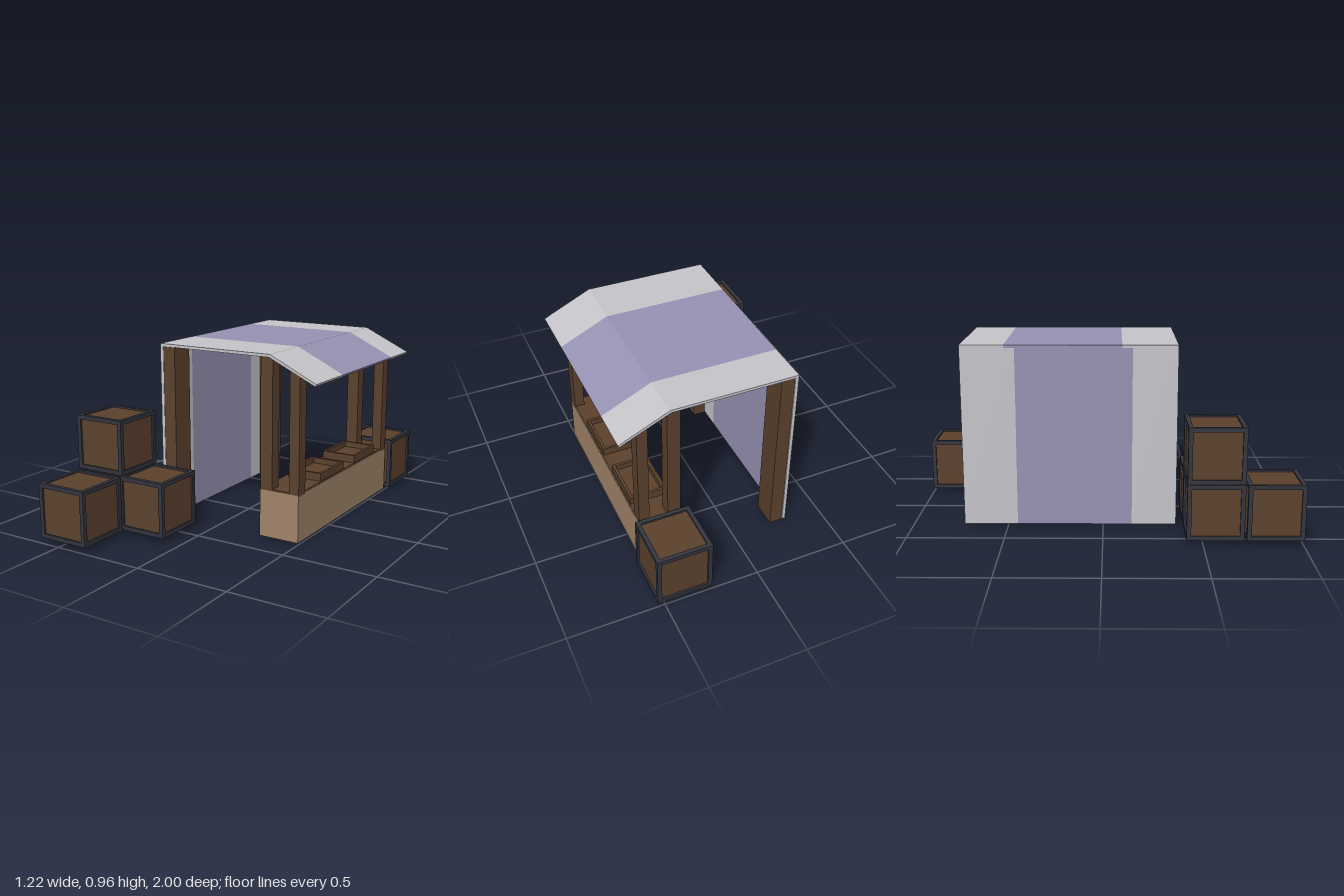
import * as THREE from 'three';

const mat = (name, color) => {
  const m = new THREE.MeshStandardMaterial({ color });
  m.name = name;
  return m;
};

export function createModel() {
  const wood = mat('dark wood', 0x5b412d);
  const tan = mat('tan wood', 0xa0846a);
  const iron = mat('dark frame', 0x34353e);
  const pale = mat('pale cloth', 0xc6c5ca);
  const violet = mat('violet cloth', 0x9792b3);
  const model = new THREE.Group();

  // box given by its limits on each axis
  function box(parent, name, m, [x0, x1], [y0, y1], [z0, z1]) {
    const mesh = new THREE.Mesh(new THREE.BoxGeometry(x1 - x0, y1 - y0, z1 - z0), m);
    mesh.position.set((x0 + x1) / 2, (y0 + y1) / 2, (z0 + z1) / 2);
    mesh.name = name;
    parent.add(mesh);
    return mesh;
  }

  // outline in x and y, swept from z0 to z1
  function sweep(parent, name, m, points, z0, z1) {
    const shape = new THREE.Shape(points.map(([x, y]) => new THREE.Vector2(x, y)));
    const geo = new THREE.ExtrudeGeometry(shape, { depth: z1 - z0, bevelEnabled: false });
    const mesh = new THREE.Mesh(geo, m);
    mesh.position.z = z0;
    mesh.name = name;
    parent.add(mesh);
  }

  // crate: recessed wooden body inside twelve frame bars
  function crate(x, y, z) {
    const g = new THREE.Group();
    g.name = 'crate';
    const h = 0.143, t = 0.022, b = h - 0.01;
    box(g, 'crateBody', wood, [-b, b], [-b, b], [-b, b]);
    const lo = [-h, -h + t], hi = [h - t, h], full = [-h, h], inner = [-h + t, h - t];
    for (const p of [lo, hi]) for (const q of [lo, hi]) {
      box(g, 'frameBar', iron, full, p, q);
      box(g, 'framePost', iron, p, inner, q);
      box(g, 'frameBar', iron, p, q, inner);
    }
    g.position.set(x, y, z);
    model.add(g);
  }
  crate(-0.467, 0.178, 0.558);
  crate(-0.467, 0.467, 0.558);
  crate(-0.218, 0.178, 0.558);
  crate(-0.467, 0.178, 0.857);
  crate(0.393, 0.168, -0.857);

  // awning: flat part and sloping lip, in three cloth bands
  const awning = new THREE.Group();
  awning.name = 'awning';
  model.add(awning);
  const roof = [[-0.305, 0.947], [0.347, 0.947], [0.601, 0.829], [0.607, 0.841], [0.352, 0.962], [-0.305, 0.962]];
  sweep(awning, 'roofBandBack', pale, roof, -0.73, -0.505);
  sweep(awning, 'roofStripe', violet, roof, -0.505, 0.097);
  sweep(awning, 'roofBandFront', pale, roof, 0.097, 0.382);

  // hanging side cloth: outer and inner layer, each with its stripe
  const layers = [[[-0.305, -0.297], -0.45, 0.15], [[-0.297, -0.287], -0.485, 0.125]];
  for (const [xs, a, b] of layers) {
    box(awning, 'sideClothBack', pale, xs, [0.01, 0.947], [-0.73, a]);
    box(awning, 'sideClothStripe', violet, xs, [0.01, 0.947], [a, b]);
    box(awning, 'sideClothFront', pale, xs, [0.01, 0.947], [b, 0.382]);
  }

  // posts at both ends of the stall
  const ends = [[[0.25, 0.38], [0.29, 0.357]], [[-0.725, -0.59], [-0.697, -0.63]]];
  for (const [wide, slim] of ends) {
    box(model, 'sidePost', wood, [-0.287, -0.217], [0.003, 0.946], wide);
    box(model, 'innerCounterPost', wood, [0.287, 0.355], [0.26, 0.946], slim);
    sweep(model, 'outerCounterPost', wood,
      [[0.452, 0.26], [0.507, 0.26], [0.507, 0.873], [0.452, 0.898]], slim[0], slim[1]);
  }

  // counter with wooden top, lower back board and base board
  const counter = new THREE.Group();
  counter.name = 'counter';
  model.add(counter);
  box(counter, 'counterBody', tan, [0.287, 0.507], [0.018, 0.268], [-0.7, 0.36]);
  box(counter, 'counterTop', wood, [0.292, 0.502], [0.268, 0.273], [-0.695, 0.355]);
  box(counter, 'backBoard', wood, [0.281, 0.287], [0.02, 0.13], [-0.695, 0.355]);
  box(counter, 'baseBoard', wood, [0.33, 0.47], [0.012, 0.018], [-0.66, 0.32]);

  // open display trays
  for (const z of [-0.425, -0.027]) {
    const g = new THREE.Group();
    g.name = 'tray';
    const w = 0.095, d = 0.133, t = 0.015;
    box(g, 'trayFloor', wood, [-w, w], [0, 0.012], [-d, d]);
    for (const s of [-1, 1]) {
      box(g, 'trayEnd', wood, [-w, w], [0, 0.042], s < 0 ? [-d, -d + t] : [d - t, d]);
      box(g, 'traySide', wood, s < 0 ? [-w, -w + t] : [w - t, w], [0, 0.042], [-d + t, d - t]);
    }
    g.position.set(0.403, 0.272, z);
    counter.add(g);
  }
  return model;
}
